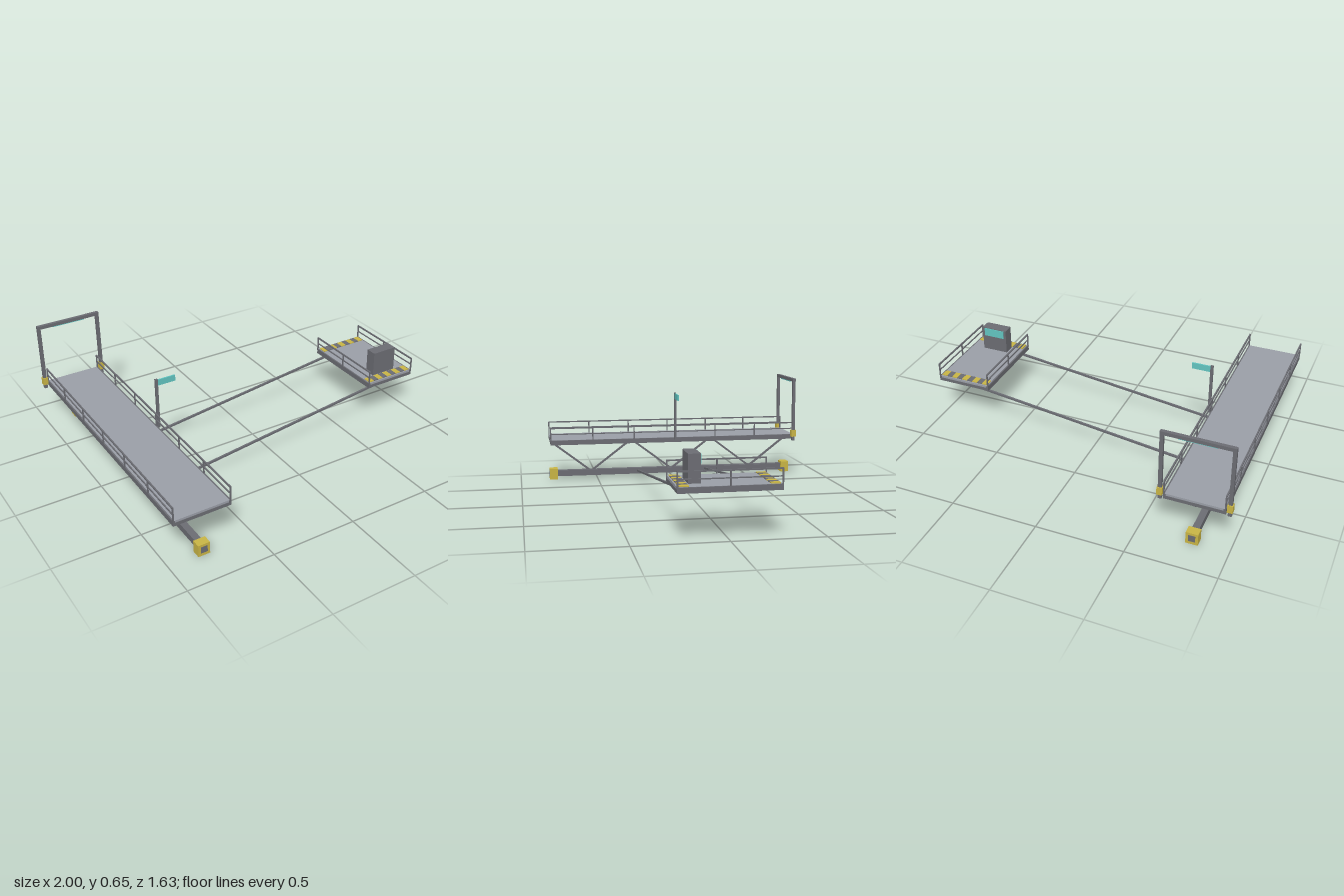
import * as THREE from 'three';

const mat = (name, color) => {
  const m = new THREE.MeshStandardMaterial({ color });
  m.name = name;
  return m;
};

export function createModel() {
  const steel = mat('steel', 0x6b6c72);
  const plate = mat('deck plate', 0x9a9ea7);
  const yellow = mat('safety yellow', 0xc8b445);
  const teal = mat('signal teal', 0x62c4c0);
  const model = new THREE.Group();
  model.name = 'gangway';

  const group = (name) => {
    const g = new THREE.Group();
    g.name = name;
    model.add(g);
    return g;
  };
  // Box given by its size and centre
  const box = (parent, name, m, w, h, d, x, y, z) => {
    const b = new THREE.Mesh(new THREE.BoxGeometry(w, h, d), m);
    b.name = name;
    b.position.set(x, y, z);
    parent.add(b);
    return b;
  };
  // Square bar between two points
  const bar = (parent, name, a, b, t) => {
    const p = new THREE.Vector3(...a), q = new THREE.Vector3(...b);
    const m = box(parent, name, steel, t, t, p.distanceTo(q), 0, 0, 0);
    m.position.copy(p).add(q).multiplyScalar(0.5);
    m.lookAt(q);
  };

  // Framed deck with cross beams and a two-bar handrail on each long side
  const deck = (name, x, halfLength, bays, beams) => {
    const g = group(name);
    const half = 0.162, len = halfLength * 2;
    box(g, 'deckPlate', plate, half * 2 - 0.01, 0.012, len - 0.004, x, 0.273, 0);
    for (const s of [-1, 1]) {
      const sx = x + s * half;
      box(g, 'edgeBeam', steel, 0.012, 0.03, len, sx - s * 0.003, 0.263, 0);
      box(g, 'topRail', steel, 0.008, 0.008, len, sx, 0.357, 0);
      box(g, 'midRail', steel, 0.006, 0.006, len, sx, 0.318, 0);
      for (let i = 0; i <= bays; i++) {
        box(g, 'railPost', steel, 0.007, 0.09, 0.007, sx, 0.314, (i / bays - 0.5) * (len - 0.005));
      }
    }
    for (let i = 0; i <= beams; i++) {
      box(g, 'crossBeam', steel, half * 2 - 0.016, 0.019, 0.012, x, 0.2575, (i / beams - 0.5) * (len - 0.012));
    }
    return g;
  };
  deck('walkway', -0.8, 0.81, 6, 6);
  const platform = deck('platform', 0.83, 0.268, 2, 4);

  // Lower chord with end caps
  const truss = group('truss');
  box(truss, 'lowerChord', steel, 0.038, 0.038, 1.632, -0.8, 0.037, 0);
  for (const s of [-1, 1]) box(truss, 'endCap', yellow, 0.068, 0.07, 0.052, -0.8, 0.035, s * 0.788);
  // Zigzag diagonals between chord and walkway
  for (let i = 0; i < 6; i++) {
    const z = (i - 3) * 0.27;
    const y = (k) => (k % 2 ? 0.045 : 0.25);
    const end = (k, v) => [-0.8, y(k), Math.max(-0.805, Math.min(0.805, v))];
    bar(truss, 'diagonal', end(i, z), end(i + 1, z + 0.27), 0.012);
  }

  // Link arms from the chord to the platform
  const arms = group('linkArms');
  for (const s of [-1, 1]) bar(arms, 'linkArm', [-0.8, 0.037, s * 0.23], [0.825, 0.243, s * 0.23], 0.012);

  // Gate frame at the rear end
  const gate = group('gate');
  for (const s of [-1, 1]) {
    const x = -0.8 + s * 0.185;
    box(gate, 'gatePost', steel, 0.02, 0.41, 0.018, x, 0.445, -0.8);
    box(gate, 'postClamp', yellow, 0.03, 0.045, 0.03, x, 0.288, -0.8);
  }
  box(gate, 'gateBeam', steel, 0.39, 0.02, 0.02, -0.8, 0.645, -0.8);
  box(gate, 'lightStrip', teal, 0.2, 0.006, 0.012, -0.8, 0.632, -0.8);

  // Signal post with flag plate
  const signal = group('signal');
  box(signal, 'signalPost', steel, 0.016, 0.31, 0.012, -0.624, 0.42, 0);
  box(signal, 'signalPlate', teal, 0.118, 0.036, 0.008, -0.567, 0.552, 0);

  // Hazard stripes across both ends of the platform
  const stripe = 0.306 / 9;
  for (const s of [-1, 1]) {
    for (let i = 0; i < 9; i++) {
      box(platform, 'hazardStripe', i % 2 ? steel : yellow, stripe, 0.006, 0.05,
        0.83 + (i - 4) * stripe, 0.281, s * 0.232);
    }
  }

  // Control cabinet and its screen
  const cabinet = group('controlCabinet');
  box(cabinet, 'cabinet', steel, 0.16, 0.152, 0.066, 0.83, 0.353, 0.165);
  box(cabinet, 'screen', teal, 0.13, 0.05, 0.006, 0.83, 0.4, 0.13);

  return model;
}
